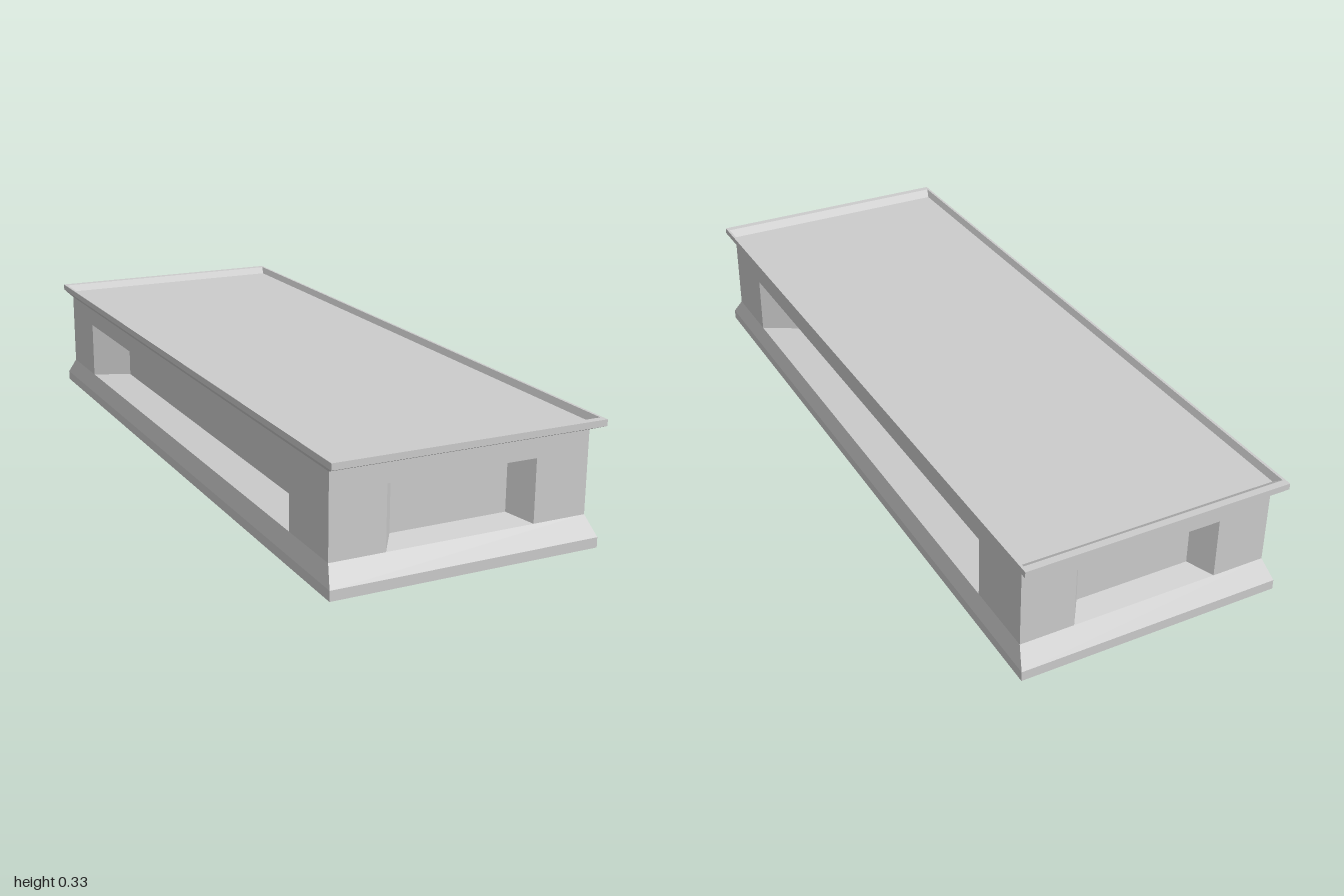
import * as THREE from 'three';

const material = new THREE.MeshStandardMaterial({ color: 0xcccccc, flatShading: true, side: THREE.DoubleSide });

// Rectangle corners, counter-clockwise from above (horizontal) or from +z (upright)
const flatRing = ([x, z, y]) => [[x, y, z], [x, y, -z], [-x, y, -z], [-x, y, z]];
const uprightRing = (x, y0, y1, z) => [[-x, y0, z], [x, y0, z], [x, y1, z], [-x, y1, z]];

// Joins successive four-corner rings with quads; optionally closes the last ring
function loft(name, rings, cap) {
  const pos = [];
  const quad = (a, b, c, d) => pos.push(...a, ...b, ...c, ...a, ...c, ...d);
  for (let r = 0; r + 1 < rings.length; r++) {
    for (let i = 0; i < 4; i++) {
      const j = (i + 1) % 4;
      quad(rings[r][i], rings[r][j], rings[r + 1][j], rings[r + 1][i]);
    }
  }
  if (cap) quad(...rings[rings.length - 1]);
  const geo = new THREE.BufferGeometry();
  geo.setAttribute('position', new THREE.Float32BufferAttribute(pos, 3));
  geo.computeVertexNormals();
  const mesh = new THREE.Mesh(geo, material);
  mesh.name = name;
  return mesh;
}

const WALL_X = 0.35, WALL_Z = 0.955, WALL_BOTTOM = 0.076, WALL_TOP = 0.294;
const OPEN_TOP = 0.243;

// One side: a wall with an opening and the tapered panel sunk into it
function side(name, halfWidth, distance, open, inner, y0, y1, depth) {
  const group = new THREE.Group();
  group.name = name;
  const outline = [
    [-halfWidth, WALL_BOTTOM], [-open, WALL_BOTTOM], [-open, OPEN_TOP], [open, OPEN_TOP],
    [open, WALL_BOTTOM], [halfWidth, WALL_BOTTOM], [halfWidth, WALL_TOP], [-halfWidth, WALL_TOP],
  ].map(([x, y]) => new THREE.Vector2(x, y));
  const wall = new THREE.Mesh(new THREE.ShapeGeometry(new THREE.Shape(outline)), material);
  wall.name = 'wall';
  wall.position.z = distance;
  const recess = loft('recessedPanel', [
    uprightRing(open, WALL_BOTTOM, OPEN_TOP, distance),
    uprightRing(inner, y0, y1, distance - depth),
  ], true);
  group.add(wall, recess);
  return group;
}

export function createModel() {
  const model = new THREE.Group();
  model.name = 'plinth';

  // Flared foot, open underneath
  model.add(loft('baseSkirt', [
    [0.365, 0.993, 0], [0.365, 0.993, 0.027], [WALL_X, WALL_Z, WALL_BOTTOM],
  ].map(flatRing), false));

  // Cornice, raised rim and sunken top surface
  model.add(loft('topSlab', [
    [WALL_X, WALL_Z, WALL_TOP], [0.367, 1, 0.313], [0.367, 1, 0.33],
    [0.36, 0.98, 0.33], [0.351, 0.955, 0.313],
  ].map(flatRing), true));

  // Short ends and long sides, each pair turned half a circle apart
  for (const [i, end] of ['front', 'back'].entries()) {
    const wall = side(end + 'Side', WALL_X, WALL_Z, 0.202, 0.16, 0.093, 0.227, 0.06);
    wall.rotation.y = i * Math.PI;
    model.add(wall);
  }
  for (const [i, flank] of ['left', 'right'].entries()) {
    const wall = side(flank + 'Side', WALL_Z, WALL_X, 0.75, 0.68, 0.083, 0.236, 0.1);
    wall.rotation.y = Math.PI / 2 + i * Math.PI;
    model.add(wall);
  }
  return model;
}
